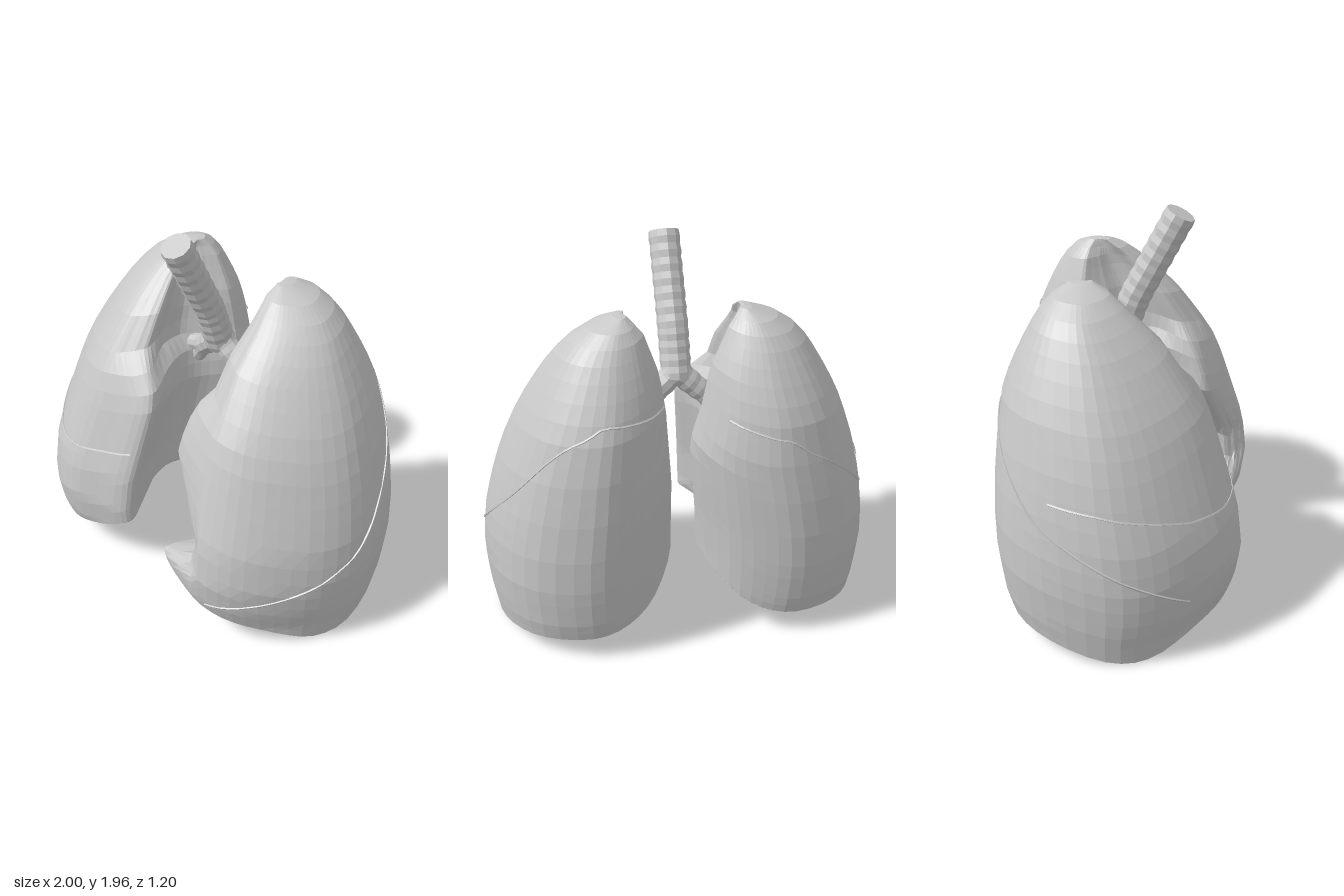
import * as THREE from 'three';

const tissue = new THREE.MeshStandardMaterial({ name: 'pale grey', color: 0xc8c8c8, flatShading: true });
const TOP = 1.675;

// linear lookup in a table of [key, value] pairs
function lookup(table, k) {
  if (k <= table[0][0]) return table[0][1];
  for (let i = 1; i < table.length; i++) {
    const [a, va] = table[i - 1], [b, vb] = table[i];
    if (k <= b) return va + (vb - va) * (k - a) / (b - a);
  }
  return table[table.length - 1][1];
}

// extents of a lung by height
const OUTER = [[0, 0.95], [0.2, 0.985], [0.4, 1], [0.6, 0.985], [0.8, 0.94], [1, 0.88], [1.2, 0.795], [1.4, 0.68], [1.54, 0.58], [1.6, 0.51], [1.65, 0.42], [TOP, 0.33]];
const FRONT = [[0.1, 0.53], [0.25, 0.58], [0.4, 0.6], [0.6, 0.575], [0.8, 0.51], [1, 0.445], [1.12, 0.395], [1.25, 0.31], [1.4, 0.2], [1.5, 0.095], [1.6, -0.015], [1.65, -0.08], [TOP, -0.14]];
const BACK = [[0.1, -0.55], [0.2, -0.575], [0.4, -0.6], [0.6, -0.605], [0.8, -0.6], [1, -0.585], [1.2, -0.555], [1.3, -0.52], [1.4, -0.475], [1.5, -0.425], [1.6, -0.36], [1.65, -0.305], [TOP, -0.25]];
const INNER_LEFT = [[0.4, 0.07], [0.8, 0.07], [1.2, 0.1], [1.4, 0.13], [1.6, 0.2], [TOP, 0.27]];
const INNER_RIGHT = [[0.4, 0.07], [0.6, 0.06], [1, 0.025], [1.2, 0.08], [1.4, 0.12], [1.6, 0.21], [TOP, 0.27]];

// plan outline: across (inner to outer), depth (back to front), height of the lower rim
const PLAN = [
  [0, -0.4, 0.38], [0.13, -0.75, 0.24], [0.3, -0.93, 0.14], [0.5, -1, 0.105], [0.76, -0.85, 0.09], [0.93, -0.5, 0.06],
  [1, 0, 0], [0.935, 0.37, -0.012], [0.785, 0.69, 0.06], [0.61, 0.92, 0.13], [0.43, 1, 0.18], [0.25, 0.95, 0.23],
  [0.1, 0.88, 0.3], [0.06, 0.77, 0.34], [0.13, 0.5, 0.42], [0.175, 0.22, 0.43], [0.14, 0, 0.42], [0.05, -0.22, 0.41],
];
const plan = new THREE.CatmullRomCurve3(PLAN.map((p) => new THREE.Vector3(...p)), true, 'catmullrom', 0.5);

// how far the front inner border moves outward: weight by outline index, amount by height
const BORDER = [[10, 0], [11, 0.6], [12, 1], [13, 1], [14, 0.85], [15, 0.45], [16, 0]];
const UPPER_CUT = [[1.14, 0], [1.23, 0.14], [1.6, 0.16], [TOP, 0]];
const HEART_NOTCH = [[0.33, 0], [0.4, 0.22], [0.55, 0.25], [0.68, 0.17], [0.8, 0.09], [0.93, 0], [1.1, 0.03], [1.2, 0]];

// point on a lung wall at an outline index and height; pull draws it toward the dome peak
function wallPoint(side, index, y, pull = 1) {
  const p = plan.getPoint((index / PLAN.length) % 1);
  const shift = lookup(UPPER_CUT, y) + (side > 0 ? lookup(HEART_NOTCH, y) : 0);
  let u = p.x + shift * lookup(BORDER, index), v = p.y;
  u = 0.45 + (u - 0.45) * pull;
  v = -0.2 + (v + 0.2) * pull;
  const inner = lookup(side > 0 ? INNER_LEFT : INNER_RIGHT, y), outer = lookup(OUTER, y);
  const f = lookup(FRONT, y), b = lookup(BACK, y);
  return new THREE.Vector3(side * (inner + (outer - inner) * u), y, (f + b) / 2 + v * (f - b) / 2);
}

function lungGeometry(side) {
  const N = 54, rings = 20, rows = [];
  const around = (fn) => Array.from({ length: N }, (_, i) => fn(i * PLAN.length / N));
  const rimY = (i) => plan.getPoint(i / PLAN.length).z;
  const domeY = side > 0 ? 0.33 : 0.27;
  // hollow underside
  for (const s of [0, 0.25, 0.5, 0.72, 0.88, 0.98]) {
    rows.push(around((i) => {
      const p = wallPoint(side, i, rimY(i), s);
      p.y += (domeY - p.y) * (1 - s ** 1.3);
      return p;
    }));
  }
  // outer wall from rim to apex
  for (let k = 0; k <= rings; k++) {
    const t = 0.5 * k / rings + 0.25 * (1 - Math.cos(Math.PI * k / rings));
    rows.push(around((i) => {
      const y0 = rimY(i) + 0.012;
      return wallPoint(side, i, y0 + (TOP - y0) * t);
    }));
  }
  rows.push(around(() => new THREE.Vector3(side * 0.295, TOP + 0.004, -0.195)));

  const index = [];
  for (let r = 0; r < rows.length - 1; r++) {
    for (let i = 0; i < N; i++) {
      const n = (i + 1) % N, a = r * N + i, b = r * N + n, c = a + N, d = b + N;
      if (side > 0) index.push(a, c, b, b, c, d);
      else index.push(a, b, c, b, d, c);
    }
  }
  const geo = new THREE.BufferGeometry().setFromPoints(rows.flat());
  geo.setIndex(index);
  geo.computeVertexNormals();
  return geo;
}

// thin raised seam between two lobes, given as [outline index, height]
function seam(side, path, name) {
  const first = path[0][0], last = path[path.length - 1][0], pts = [];
  for (let i = first; i <= last + 0.01; i += 0.4) pts.push(wallPoint(side, i, lookup(path, i)));
  const mesh = new THREE.Mesh(new THREE.TubeGeometry(new THREE.CatmullRomCurve3(pts), 50, 0.006, 4), tissue);
  mesh.name = name;
  return mesh;
}

// ribbed airway between two points
function airway(from, to, r0, r1, ribs, name) {
  const a = new THREE.Vector3(...from), b = new THREE.Vector3(...to);
  const len = a.distanceTo(b), rows = ribs * 2;
  const geo = new THREE.CylinderGeometry(r1, r0, len, 10, rows);
  const p = geo.attributes.position;
  for (let i = 0; i < p.count; i++) {
    const row = Math.round((p.getY(i) / len + 0.5) * rows);
    const k = row % 2 ? 1.03 : 0.97;
    p.setX(i, p.getX(i) * k);
    p.setZ(i, p.getZ(i) * k);
  }
  const mesh = new THREE.Mesh(geo, tissue);
  mesh.name = name;
  mesh.position.copy(a).lerp(b, 0.5);
  mesh.quaternion.setFromUnitVectors(new THREE.Vector3(0, 1, 0), b.clone().sub(a).normalize());
  return mesh;
}

export function createModel() {
  const model = new THREE.Group();
  model.name = 'lungs';

  for (const [side, label] of [[1, 'left'], [-1, 'right']]) {
    const lung = new THREE.Group();
    lung.name = label + 'Lung';
    const body = new THREE.Mesh(lungGeometry(side), tissue);
    body.name = label + 'LungBody';
    lung.add(body);
    if (side > 0) {
      lung.add(seam(side, [[0.2, 1.24], [1, 1.25], [3, 1.27], [4, 1.15], [5, 0.85], [6, 0.55], [7, 0.43], [8, 0.34], [9, 0.28], [10, 0.23]], 'leftObliqueFissure'));
    } else {
      lung.add(seam(side, [[1, 1.2], [3, 1.12], [4, 0.95], [5, 0.72], [6, 0.55], [7, 0.42], [8, 0.28]], 'rightObliqueFissure'));
      lung.add(seam(side, [[5.2, 0.84], [6, 0.82], [7, 0.77], [8, 0.71], [9, 0.69], [10, 0.7], [11, 0.73], [12, 0.76]], 'rightHorizontalFissure'));
    }
    model.add(lung);
    // main bronchus and its two branches
    model.add(airway([0, 1.3, -0.05], [side * 0.13, 1.18, -0.07], 0.065, 0.055, 3, label + 'Bronchus'));
    model.add(airway([side * 0.11, 1.2, -0.07], [side * 0.22, 1.16, -0.07], 0.05, 0.04, 2, label + 'UpperBranch'));
    model.add(airway([side * 0.11, 1.2, -0.07], [side * 0.2, 1.07, -0.09], 0.045, 0.04, 2, label + 'LowerBranch'));
  }

  // windpipe leaning forward, with a slight bend
  model.add(airway([0, 1.26, -0.06], [0, 1.5, 0.025], 0.076, 0.076, 4, 'lowerWindpipe'));
  model.add(airway([0, 1.49, 0.02], [0, 1.92, 0.237], 0.076, 0.076, 7, 'upperWindpipe'));
  return model;
}
